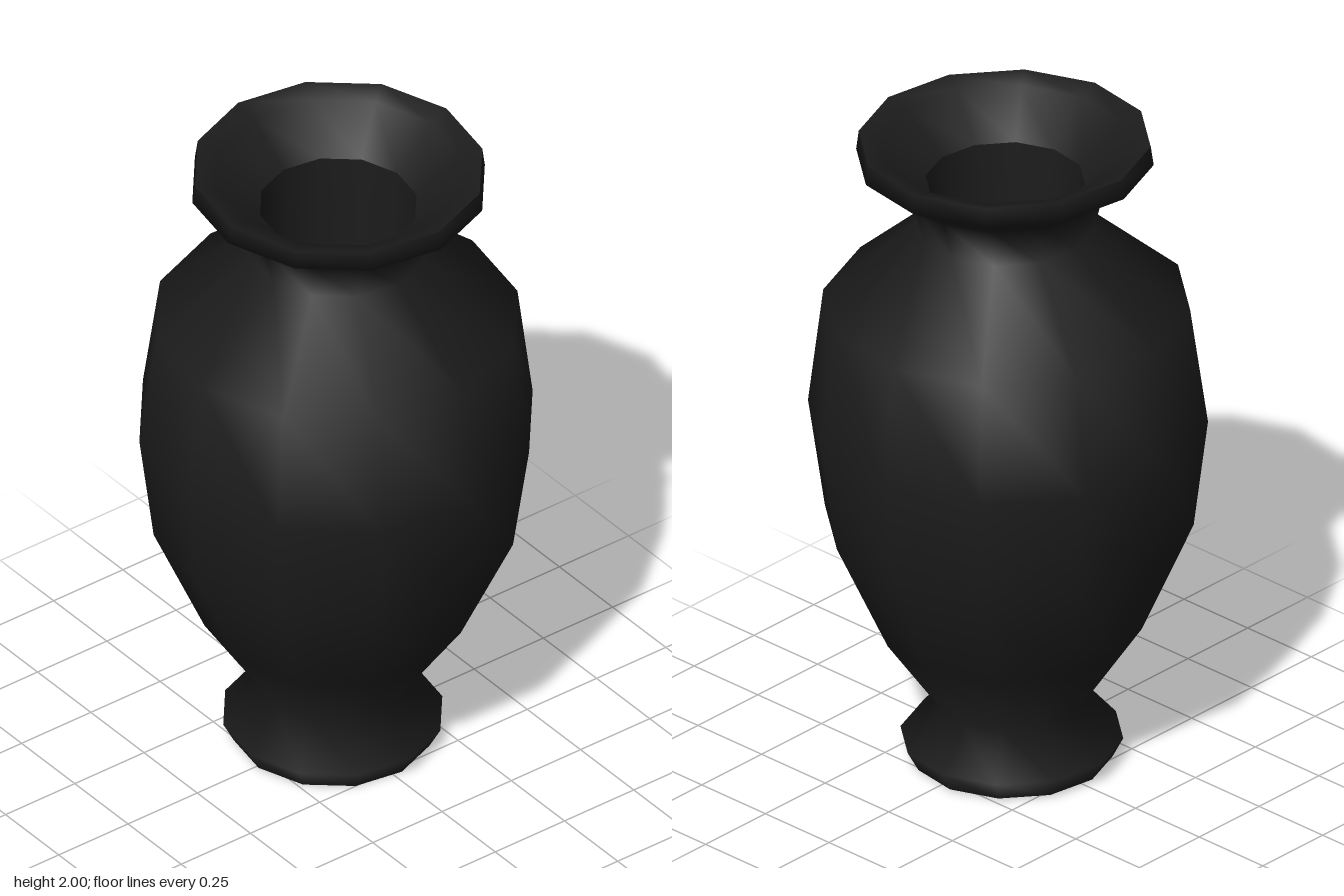
import * as THREE from 'three';

const SIDES = 12;
const TURN = THREE.MathUtils.degToRad(5.5);

export function createModel() {
  const vase = new THREE.Group();
  vase.name = 'vase';
  const material = new THREE.MeshStandardMaterial({ color: 0x1c1c1c });

  // Revolve a [radius, height] profile; heights are measured from mid-height.
  const revolve = (name, profile) => {
    const points = profile.map(([r, y]) => new THREE.Vector2(r, y - 1));
    const mesh = new THREE.Mesh(new THREE.LatheGeometry(points, SIDES, TURN), material);
    mesh.name = name;
    vase.add(mesh);
  };

  // Underside of the foot
  revolve('footUnderside', [[0, 0.004], [0.29, 0.004]]);

  // Outer wall: foot, belly, shoulder, neck and flared lip
  revolve('outerWall', [
    [0.29, 0.004], [0.322, 0.065], [0.218, 0.188], [0.38, 0.425],
    [0.533, 0.772], [0.578, 1.11], [0.53, 1.472], [0.253, 1.715],
    [0.288, 1.843], [0.43, 1.935], [0.422, 1.994],
  ]);

  // Rounded lip and funnel mouth
  revolve('mouth', [[0.422, 1.994], [0.36, 1.975], [0.23, 1.86]]);

  // Bore running down through the neck, and its floor
  revolve('bore', [[0.23, 1.86], [0.225, 1.7], [0.212, 0.25]]);
  revolve('boreFloor', [[0.212, 0.25], [0, 0.25]]);

  // The vase leans very slightly to one side
  vase.rotation.z = -0.0145;
  vase.position.y = 1;

  const model = new THREE.Group();
  model.add(vase);
  return model;
}
